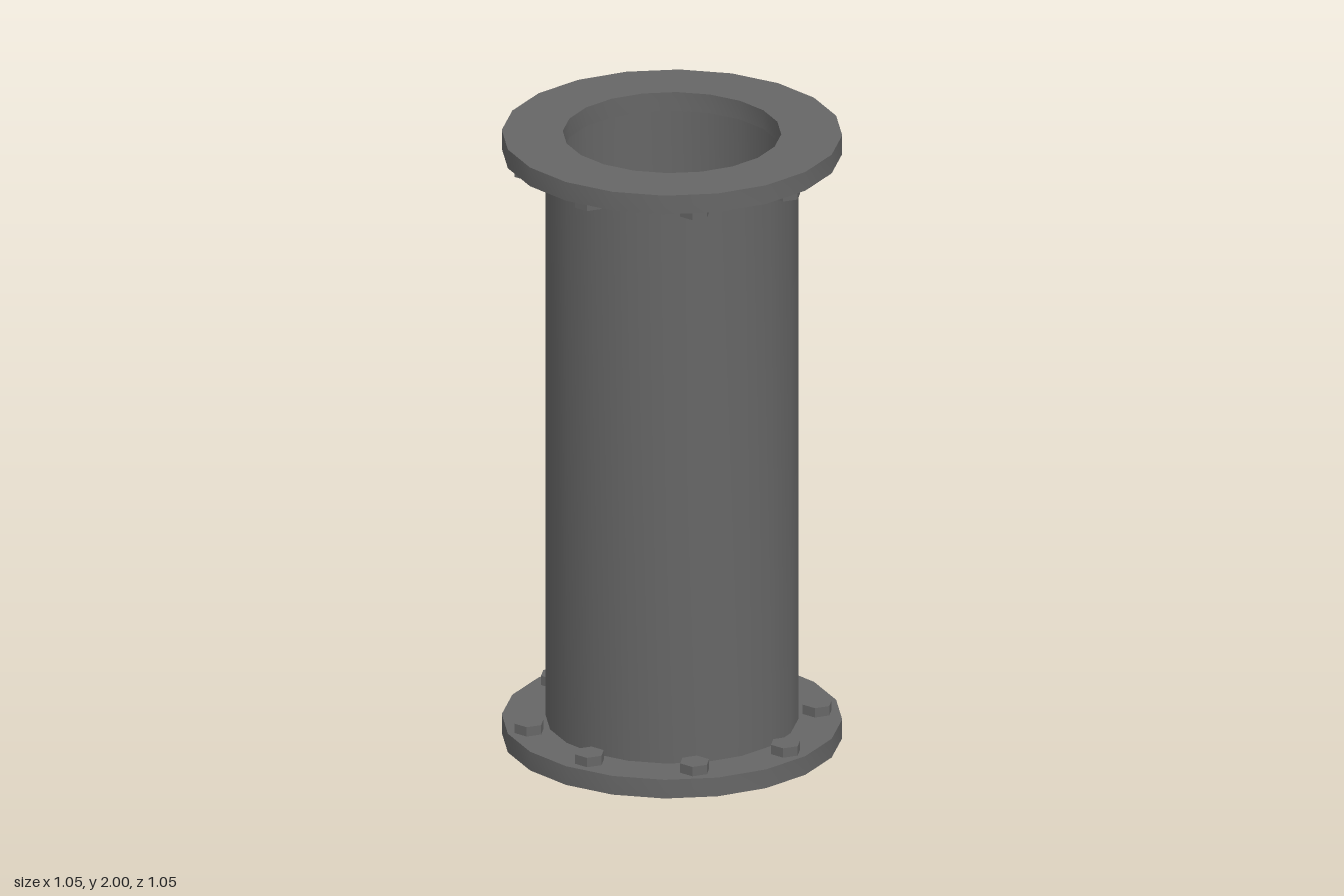
import * as THREE from 'three';
import { toCreasedNormals } from 'three/addons/utils/BufferGeometryUtils.js';

const SIDES = 20;
const HEIGHT = 2;
const INNER = 0.337;
const PIPE_OUTER = 0.39;
const FLANGE_OUTER = 0.525;
const FLANGE_THICK = 0.062;
const BOLT_RADIUS = 0.048;
const BOLT_HEIGHT = 0.031;

// Bolt centres (x, z), slightly uneven around the flange
const BOLTS = [
  [0.032, 0.45], [0.333, 0.307], [0.456, 0.012], [0.325, -0.31],
  [0.03, -0.45], [-0.262, -0.372], [-0.456, 0.003], [-0.272, 0.366],
];

// Hollow ring with a rectangular section
function ring(inner, outer, y0, y1) {
  const profile = [[outer, y0], [outer, y1], [inner, y1], [inner, y0], [outer, y0]]
    .map(([r, y]) => new THREE.Vector2(r, y));
  return toCreasedNormals(new THREE.LatheGeometry(profile, SIDES), 0.6);
}

export function createModel() {
  const model = new THREE.Group();
  model.name = 'flangedPipe';
  const metal = new THREE.MeshStandardMaterial({ color: 0x666666 });

  function add(parent, name, geometry) {
    const mesh = new THREE.Mesh(geometry, metal);
    mesh.name = name;
    parent.add(mesh);
    return mesh;
  }

  // Pipe wall between the flanges
  add(model, 'pipe', ring(INNER, PIPE_OUTER, FLANGE_THICK, HEIGHT - FLANGE_THICK));

  // Hexagonal bolt head with two corners along x
  const boltGeometry = new THREE.CylinderGeometry(BOLT_RADIUS, BOLT_RADIUS, BOLT_HEIGHT, 6)
    .rotateY(Math.PI / 6).toNonIndexed();
  boltGeometry.computeVertexNormals();

  // Flange at each end, bolt heads on the face towards the pipe
  for (const end of ['bottom', 'top']) {
    const assembly = new THREE.Group();
    assembly.name = `${end}FlangeAssembly`;
    const y0 = end === 'top' ? HEIGHT - FLANGE_THICK : 0;
    add(assembly, `${end}Flange`, ring(INNER, FLANGE_OUTER, y0, y0 + FLANGE_THICK));

    const boltOffset = FLANGE_THICK + BOLT_HEIGHT / 2;
    const boltY = end === 'top' ? HEIGHT - boltOffset : boltOffset;
    BOLTS.forEach(([x, z], i) => {
      add(assembly, `${end}Bolt${i + 1}`, boltGeometry).position.set(x, boltY, z);
    });
    model.add(assembly);
  }
  return model;
}
